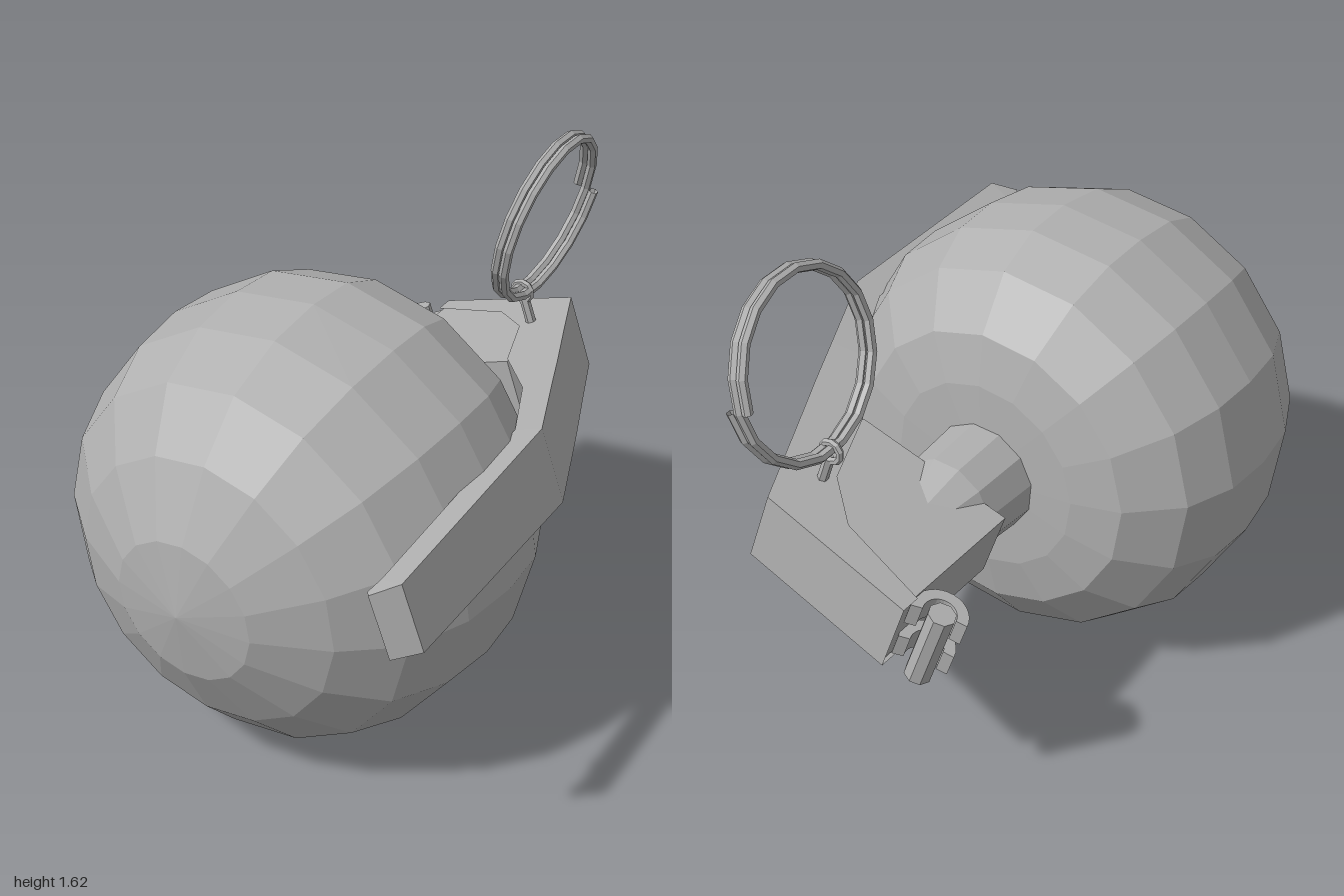
import * as THREE from 'three';

const metal = new THREE.MeshStandardMaterial({ color: 0xb0b0b0, flatShading: true, side: THREE.DoubleSide });
metal.name = 'grey metal';

function add(parent, name, geometry) {
  const mesh = new THREE.Mesh(geometry, metal);
  mesh.name = name;
  parent.add(mesh);
  return mesh;
}

// Profile points [radius, z] turned around the local z axis
function turned(points, sides) {
  return new THREE.LatheGeometry(points.map(p => new THREE.Vector2(...p)), sides).rotateX(Math.PI / 2);
}

// Outline in the local x-z plane, thickened evenly about y = 0
function slab(shape, thickness) {
  return new THREE.ExtrudeGeometry(shape, { depth: thickness, bevelEnabled: false, curveSegments: 8 })
    .translate(0, 0, -thickness / 2).rotateX(Math.PI / 2);
}

// Folded channel: outer strip plus two side flanges. Station: outer x, z, inner x, z, half width
function channel(stations) {
  const pos = [], index = [];
  for (const [ox, oz, ix, iz, h] of stations) pos.push(ix, h, iz, ox, h, oz, ox, -h, oz, ix, -h, iz);
  for (let i = 0; i < stations.length - 1; i++) {
    for (let j = 0; j < 3; j++) {
      const a = i * 4 + j, b = a + 4;
      index.push(a, a + 1, b, b, a + 1, b + 1);
    }
  }
  const g = new THREE.BufferGeometry();
  g.setAttribute('position', new THREE.Float32BufferAttribute(pos, 3));
  g.setIndex(index);
  const flat = g.toNonIndexed();
  flat.computeVertexNormals();
  return flat;
}

// Two-turn wire coil in the x-y plane
class Coil extends THREE.Curve {
  constructor(radius, turns, pitch) {
    super();
    Object.assign(this, { radius, turns, pitch });
  }
  getPoint(s, target = new THREE.Vector3()) {
    const a = Math.PI + s * this.turns * 2 * Math.PI;
    return target.set(this.radius * Math.cos(a), this.radius * Math.sin(a), (s - 0.5) * this.turns * this.pitch);
  }
}

export function createModel() {
  const model = new THREE.Group();
  model.name = 'model';

  // Tilted frame: z runs along the body axis, x points out to the lever
  const tilted = new THREE.Group();
  tilted.name = 'tiltedAssembly';
  const axis = new THREE.Vector3(-0.133, -0.04, 0.99).normalize();
  const up = axis.clone().cross(new THREE.Vector3(0.94, 0.32, 0.139)).normalize();
  const out = up.clone().cross(axis);
  tilted.quaternion.setFromRotationMatrix(new THREE.Matrix4().makeBasis(out, up, axis));
  tilted.position.set(-0.04, 0.705, 0.33);
  model.add(tilted);

  // Round faceted body, flattened at the neck end
  add(tilted, 'body', turned([
    [0, -0.57], [0.317, -0.56], [0.475, -0.526], [0.63, -0.4], [0.697, -0.24], [0.709, -0.065],
    [0.685, 0.13], [0.605, 0.322], [0.445, 0.462], [0.232, 0.568], [0, 0.602],
  ], 16));

  // Neck tapering into the head
  add(tilted, 'neck', turned([[0, -1.0], [0.09, -0.98], [0.168, -0.77], [0.182, -0.55]], 12));

  // Solid head block behind the neck
  const head = new THREE.Shape([
    [-0.19, -0.765], [0.34, -0.785], [0.4, -1.0], [0.29, -1.24], [-0.19, -1.265],
  ].map(p => new THREE.Vector2(...p)));
  add(tilted, 'head', slab(head, 0.236));

  // Folded lever wrapping from the back of the head to the front of the body
  add(tilted, 'lever', channel([
    [0.705, 0.575, 0.69, 0.555, 0.1],
    [0.78, 0.52, 0.7, 0.5, 0.105],
    [0.74, -0.315, 0.65, -0.31, 0.122],
    [0.61, -0.61, 0.52, -0.58, 0.125],
    [0.54, -0.77, 0.34, -0.79, 0.125],
    [0.436, -1.0, 0.24, -1.04, 0.125],
    [0.32, -1.26, 0.1, -1.16, 0.125],
    [-0.2, -1.285, -0.2, -1.22, 0.125],
  ]));

  // Hinge pin and the two hooks that hold it
  add(tilted, 'hingePin', new THREE.CylinderGeometry(0.042, 0.042, 0.27, 8)).position.set(-0.285, 0, -1.22);
  const hook = new THREE.Shape();
  hook.absarc(0, 0, 0.085, -0.5, 2.9, false);
  hook.absarc(0, 0, 0.05, 2.9, -0.5, true);
  for (const side of [-1, 1]) {
    add(tilted, 'hingeHook', slab(hook, 0.08)).position.set(-0.27, side * 0.07, -1.2);
  }

  // Split safety pin with an eye above the head and spread ends below
  const pin = new THREE.Group();
  pin.name = 'safetyPin';
  pin.position.set(0.265, 0, -1.076);
  tilted.add(pin);
  add(pin, 'pinShaft', new THREE.CylinderGeometry(0.017, 0.017, 0.37, 6)).position.y = 0.025;
  add(pin, 'pinEye', new THREE.TorusGeometry(0.032, 0.012, 6, 10)).position.y = 0.235;
  for (const side of [-1, 1]) {
    const end = add(pin, 'pinEnd', new THREE.CylinderGeometry(0.011, 0.011, 0.08, 6));
    end.position.set(side * 0.022, -0.165, 0);
    end.rotation.z = side * 0.8;
  }

  // Pull ring standing on the pin
  const ring = add(model, 'pullRing', new THREE.TubeGeometry(new Coil(0.28, 2, 0.03), 36, 0.016, 6, false));
  const across = new THREE.Vector3(-0.12, 0, 0.99).normalize();
  const normal = across.clone().cross(new THREE.Vector3(0.24, 0.97, 0.024)).normalize();
  ring.quaternion.setFromRotationMatrix(
    new THREE.Matrix4().makeBasis(across, normal.clone().cross(across), normal));
  ring.position.set(0.345, 1.335, -0.7);

  return model;
}
